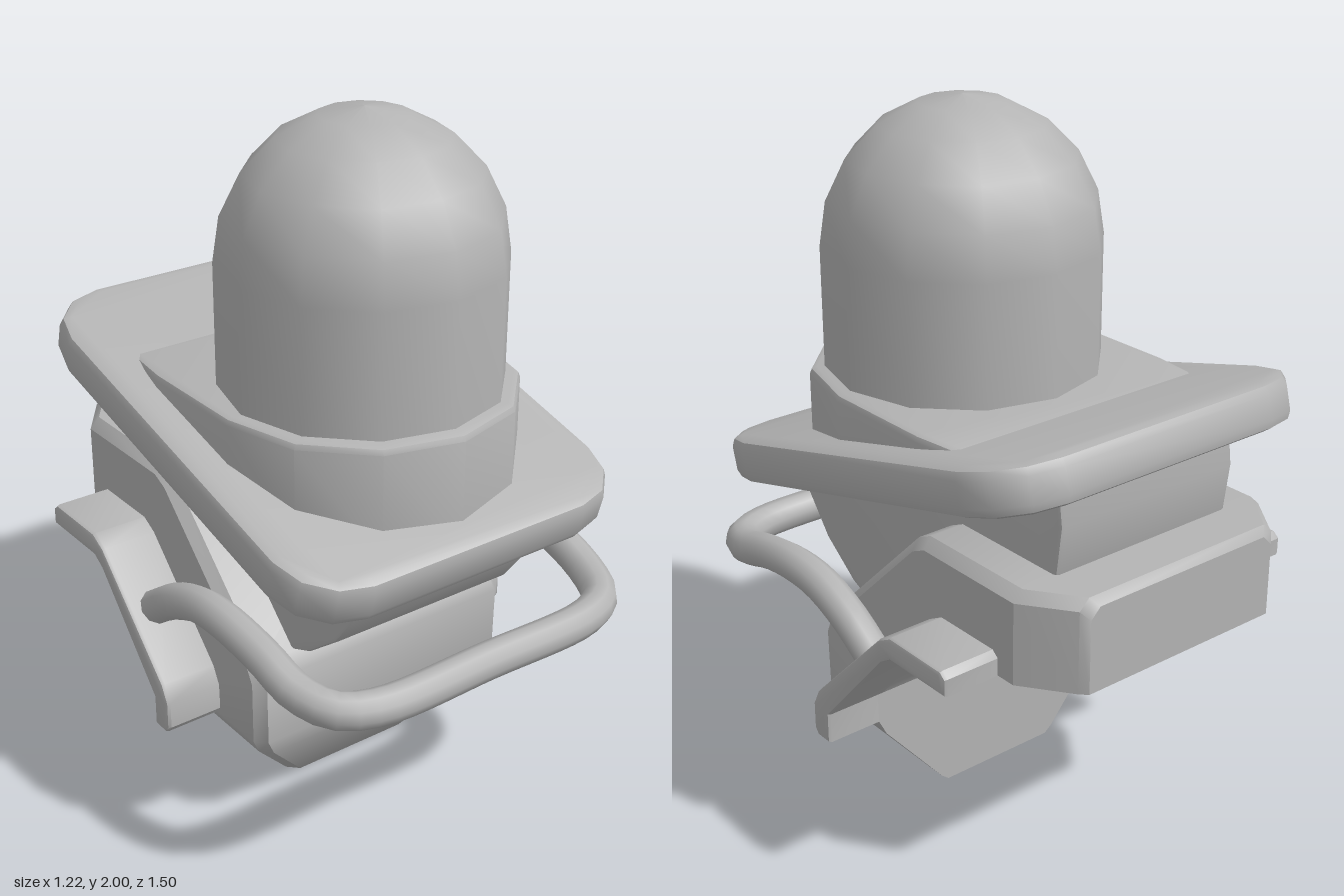
import * as THREE from 'three';
import { toCreasedNormals } from 'three/addons/utils/BufferGeometryUtils.js';

const grey = new THREE.MeshStandardMaterial({ color: 0xb4b4b4 });
grey.name = 'plain grey';

const TILT = THREE.MathUtils.degToRad(15);
const PLATE_Y = 1.1, PLATE_Z = -0.015;

function part(name, geometry) {
  const mesh = new THREE.Mesh(geometry, grey);
  mesh.name = name;
  return mesh;
}

// Extrude a closed outline along its own z, centred, with bevelled rims.
function slab(points, thickness, bevel, segments = 2) {
  const shape = new THREE.Shape(points.map(([a, b]) => new THREE.Vector2(a, b)));
  const geo = new THREE.ExtrudeGeometry(shape, {
    depth: thickness - 2 * bevel, bevelEnabled: true, bevelThickness: bevel,
    bevelSize: bevel, bevelOffset: -bevel, bevelSegments: segments,
  });
  geo.translate(0, 0, bevel - thickness / 2);
  return geo;
}

// Outline given as [x, z], extruded upwards.
const planSlab = (points, t, bevel) =>
  slab(points.map(([x, z]) => [x, -z]), t, bevel).rotateX(-Math.PI / 2);

// Outline given as [z, y], extruded across x.
const sideSlab = (points, t, bevel) => slab(points, t, bevel).rotateY(-Math.PI / 2);

// Points along an arc, angles in degrees.
function arc(cx, cy, r, from, to, steps) {
  return Array.from({ length: steps + 1 }, (_, i) => {
    const a = THREE.MathUtils.degToRad(from + ((to - from) * i) / steps);
    return [cx + r * Math.cos(a), cy + r * Math.sin(a)];
  });
}

// Twelve-sided dome with a straight lower wall
function makeDome() {
  const wall = [[0.392, 1.2], [0.392, 1.6]];
  const cap = arc(0, 1.6, 1, 0, 90, 5).slice(1).map(([c, s]) => [0.392 * c, 1.6 + (s - 1.6) * 0.4]);
  const profile = [...wall, ...cap].map(([r, y]) => new THREE.Vector2(Math.max(r, 0), y));
  const mesh = part('dome', new THREE.LatheGeometry(profile, 12));
  mesh.position.z = 0.147;
  return mesh;
}

// D-shaped collar with its underside sheared to follow the tilted plate
function makeCollar() {
  const outline = [...arc(0, 0.145, 0.435, 0, 180, 6), [-0.435, -0.2], [-0.415, -0.37], [0.415, -0.37], [0.435, -0.2]];
  const geo = planSlab(outline, 0.2, 0.02).translate(0, 1.155, 0);
  const pos = geo.attributes.position;
  for (let i = 0; i < pos.count; i++) {
    if (pos.getY(i) < 1.15) pos.setY(i, PLATE_Y - Math.tan(TILT) * (pos.getZ(i) - PLATE_Z));
  }
  return part('collar', toCreasedNormals(geo, 0.6));
}

// Tilted plate with rounded corners
function makePlate() {
  const w = 0.54, l = 0.695, r = 0.19;
  const outline = [
    ...arc(w - r, l - r, r, 0, 90, 3), ...arc(r - w, l - r, r, 90, 180, 3),
    ...arc(r - w, r - l, r, 180, 270, 3), ...arc(w - r, r - l, r, 270, 360, 3),
  ];
  const mesh = part('tiltedPlate', toCreasedNormals(planSlab(outline, 0.13, 0.03), 0.7));
  mesh.rotation.x = TILT;
  mesh.position.set(0, PLATE_Y, PLATE_Z);
  return mesh;
}

// Half drum hanging below the plate
function makeDrum() {
  const geo = sideSlab(arc(0, 1.105, 0.61, 165, 345, 12), 0.6, 0.012);
  return part('drum', toCreasedNormals(geo, 0.6));
}

// Bent bracket lofted from [outerZ, outerY, innerZ, innerY, halfWidth] sections
function makeBracket() {
  const stations = [
    [0.07, 0, 0, 0, 0.19],
    [0.105, 0.02, 0, 0.02, 0.215],
    [0.255, 0.25, 0, 0.25, 0.41],
    [0.267, 0.3, 0, 0.3, 0.435],
    [0.267, 0.5, 0, 0.39, 0.437],
    [0.24, 0.55, -0.02, 0.42, 0.437],
    [-0.17, 0.945, -0.26, 0.68, 0.437],
    [-0.22, 0.968, -0.3, 0.705, 0.437],
    [-0.59, 0.968, -0.59, 0.705, 0.437],
    [-0.725, 0.968, -0.725, 0.705, 0.34],
    [-0.745, 0.945, -0.745, 0.705, 0.32],
  ];
  const bevel = 0.03, positions = [], index = [], n = 6;
  for (const [oz, oy, iz, iy, w] of stations) {
    const k = bevel / Math.hypot(oz - iz, oy - iy);
    const sz = oz + (iz - oz) * k, sy = oy + (iy - oy) * k;
    positions.push(
      -w, iy, iz, -w, sy, sz, bevel - w, oy, oz,
      w - bevel, oy, oz, w, sy, sz, w, iy, iz);
  }
  const last = (stations.length - 1) * n;
  for (let s = 0; s < last; s += n) {
    for (let j = 0; j < n; j++) {
      const a = s + j, b = s + ((j + 1) % n);
      index.push(a, b, b + n, a, b + n, a + n);
    }
  }
  for (let j = 1; j < n - 1; j++) {
    index.push(0, j + 1, j);
    index.push(last, last + j, last + j + 1);
  }
  const geo = new THREE.BufferGeometry();
  geo.setAttribute('position', new THREE.Float32BufferAttribute(positions, 3));
  geo.setIndex(index);
  return part('bracket', toCreasedNormals(geo, 0.55));
}

// Bent flange on one side of the bracket
function makeFlange(side) {
  const profile = [
    [0, 0.3], [0.055, 0.3], [0.07, 0.32], [0.07, 0.4], [0.045, 0.45],
    [-0.25, 0.745], [-0.3, 0.772], [-0.51, 0.772], [-0.53, 0.755],
    [-0.53, 0.705], [-0.3, 0.705], [-0.26, 0.68], [0, 0.39],
  ];
  const geo = sideSlab(profile, 0.2, 0.012).translate(side * 0.508, 0, 0);
  return part(side > 0 ? 'leftFlange' : 'rightFlange', toCreasedNormals(geo, 0.6));
}

// Round guard rail looping around the front
function makeRail() {
  const half = [
    [0.52, 0.59, -0.12], [0.522, 0.67, 0], [0.522, 0.72, 0.13], [0.522, 0.73, 0.25],
    [0.515, 0.705, 0.41], [0.505, 0.665, 0.54], [0.46, 0.645, 0.64], [0.36, 0.64, 0.69],
  ];
  const mirrored = half.slice().reverse().map(([x, y, z]) => [-x, y, z]);
  const path = new THREE.CatmullRomCurve3(
    [...half, [0, 0.64, 0.695], ...mirrored].map((p) => new THREE.Vector3(...p)));
  const group = new THREE.Group();
  group.name = 'guardRail';
  group.add(part('railTube', new THREE.TubeGeometry(path, 56, 0.051, 10)));
  for (const t of [0, 1]) {
    const cap = part('railEnd', new THREE.CircleGeometry(0.051, 10));
    const point = path.getPointAt(t);
    cap.position.copy(point);
    cap.lookAt(point.clone().addScaledVector(path.getTangentAt(t), t ? 1 : -1));
    group.add(cap);
  }
  return group;
}

export function createModel() {
  const model = new THREE.Group();
  model.name = 'domedBracketUnit';
  model.add(makeDome(), makeCollar(), makePlate(), makeDrum(), makeBracket(), makeRail());
  for (const side of [1, -1]) model.add(makeFlange(side));
  return model;
}
